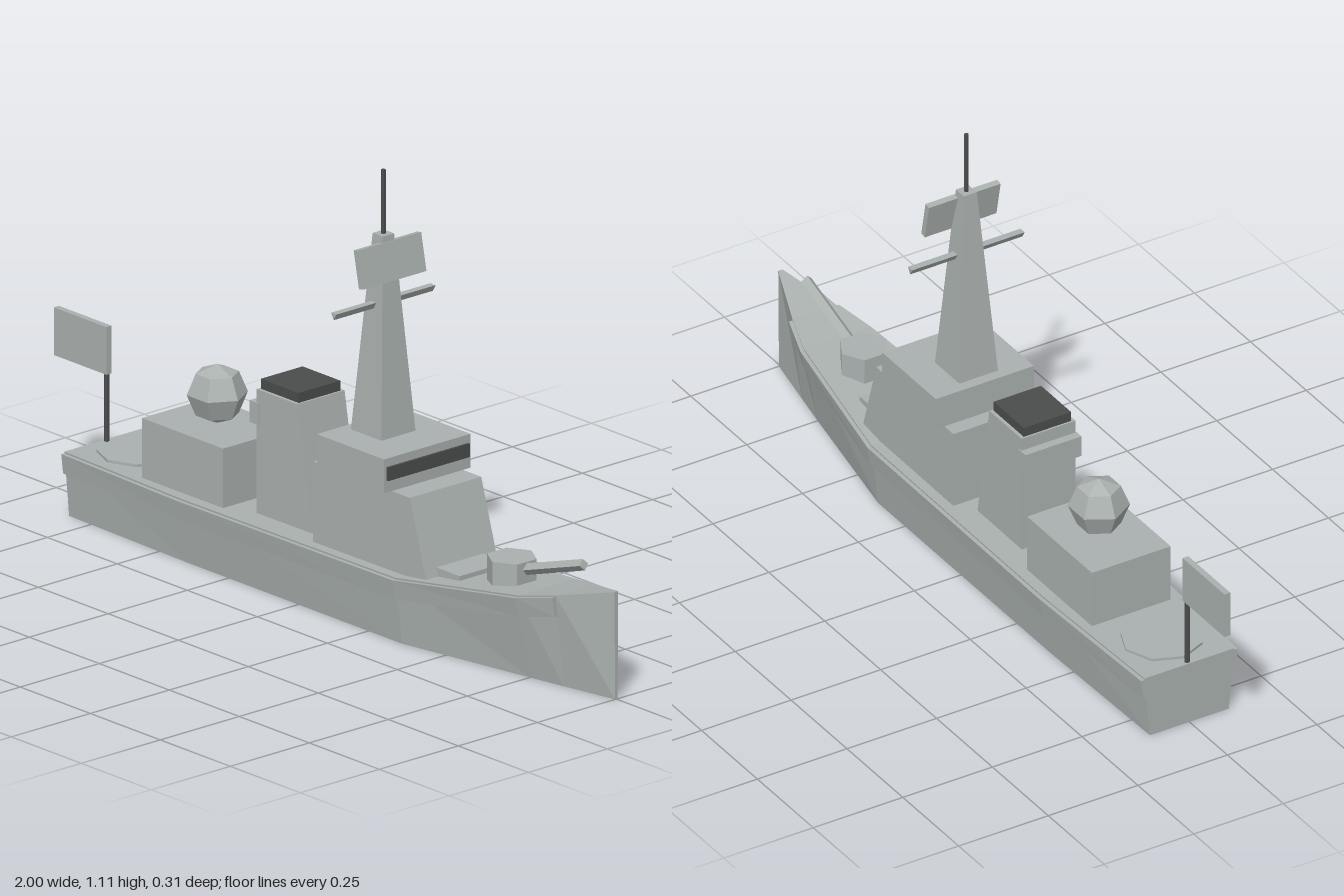
import * as THREE from 'three';

const grey = new THREE.MeshStandardMaterial({ color: 0xaab1af, flatShading: true });
grey.name = 'hull grey';
const dark = new THREE.MeshStandardMaterial({ color: 0x4b4c4c, flatShading: true });
dark.name = 'dark grey';

// Hull stations: x, deck height, deck half-width, bottom half-width
const STATIONS = [
  [-0.83, 0.165, 0.125, 0.11],
  [-0.4, 0.165, 0.14, 0.12],
  [0.37, 0.17, 0.14, 0.12],
  [0.75, 0.215, 0.09, 0.052],
  [0.85, 0.235, 0.06, 0.033],
  [1, 0.27, 0.006, 0.004],
];

// Joins rings of [x, y, z] points (counter-clockwise seen from +x) and caps both ends
function loft(rings) {
  const n = rings[0].length;
  const index = [];
  for (let i = 0; i < rings.length - 1; i++) {
    for (let j = 0; j < n; j++) {
      const a = i * n + j, b = i * n + (j + 1) % n;
      const c = b + n, d = a + n;
      index.push(a, b, c, a, c, d);
    }
  }
  const last = (rings.length - 1) * n;
  for (let j = 1; j < n - 1; j++) {
    index.push(0, j + 1, j, last, last + j, last + j + 1);
  }
  const g = new THREE.BufferGeometry();
  g.setAttribute('position', new THREE.Float32BufferAttribute(rings.flat(2), 3));
  g.setIndex(index);
  const flat = g.toNonIndexed();
  flat.computeVertexNormals();
  return flat;
}

// Box given by its limits, with an optional different top rectangle
function block(x0, x1, y0, y1, z, tx0 = x0, tx1 = x1, tz = z) {
  const g = new THREE.BoxGeometry(1, 1, 1).toNonIndexed();
  const p = g.attributes.position;
  for (let i = 0; i < p.count; i++) {
    const top = p.getY(i) > 0;
    const x = p.getX(i) > 0 ? (top ? tx1 : x1) : (top ? tx0 : x0);
    p.setXYZ(i, x, top ? y1 : y0, Math.sign(p.getZ(i)) * (top ? tz : z));
  }
  g.computeVertexNormals();
  return g;
}

export function createModel() {
  const ship = new THREE.Group();
  ship.name = 'warship';
  const add = (name, geometry, material = grey, x = 0, y = 0, z = 0) => {
    const mesh = new THREE.Mesh(geometry, material);
    mesh.name = name;
    mesh.position.set(x, y, z);
    ship.add(mesh);
    return mesh;
  };

  // Hull
  add('hull', loft(STATIONS.map(([x, d, h, b]) =>
    [[x, 0, -b], [x, d, -h], [x, d, h], [x, 0, b]])));

  // Rubbing strakes along both sides, stopping short of the bow
  for (const s of [1, -1]) {
    const rings = STATIONS.slice(0, 5).map(([x, d, h, b]) => {
      const top = d - 0.004, low = d - 0.054;
      const inner = b + (h - b) * low / d;
      const ring = [
        [x, top, s * (h - 0.008)], [x, top, s * (h + 0.01)],
        [x, low, s * (inner + 0.009)], [x, low, s * (inner - 0.008)],
      ];
      return s > 0 ? ring : ring.reverse();
    });
    add(s > 0 ? 'leftSideStrake' : 'rightSideStrake', loft(rings));
  }

  // Aft deck: landing pad, flag, deckhouse and radar dome
  add('landingPad', new THREE.CylinderGeometry(0.1, 0.1, 0.01, 8), grey, -0.705, 0.167);
  add('flagPole', new THREE.CylinderGeometry(0.007, 0.007, 0.28, 6), dark, -0.82, 0.3);
  add('flag', block(-1, -0.812, 0.335, 0.455, 0.008));
  add('aftDeckhouse', block(-0.57, -0.28, 0.155, 0.315, 0.11));
  add('radarDome', new THREE.SphereGeometry(0.074, 6, 4), grey, -0.425, 0.39);

  // Funnel
  add('funnel', block(-0.2, 0, 0.155, 0.478, 0.075, -0.2, -0.055, 0.075));
  add('funnelLedge', block(-0.222, -0.19, 0.39, 0.445, 0.078));
  add('funnelCap', block(-0.195, -0.06, 0.476, 0.503, 0.066), dark);

  // Superstructure and bridge
  add('superstructure', block(0.045, 0.455, 0.155, 0.37, 0.113, 0.045, 0.39, 0.113));
  add('bridge', block(0.085, 0.325, 0.37, 0.455, 0.137));
  add('bridgeWindow', block(0.324, 0.331, 0.4, 0.434, 0.129), dark);

  // Mast with radar panel, yard and aerial
  add('mast', block(0.113, 0.222, 0.455, 0.95, 0.054, 0.15, 0.186, 0.018));
  const panel = add('radarPanel', new THREE.BoxGeometry(0.016, 0.095, 0.2), grey, 0.192, 0.887);
  panel.rotation.z = 0.2;
  const yard = add('yardArm', new THREE.CylinderGeometry(0.011, 0.011, 0.314, 3), grey, 0.168, 0.779);
  yard.rotation.x = Math.PI / 2;
  add('aerial', new THREE.CylinderGeometry(0.006, 0.006, 0.17, 6), dark, 0.168, 1.025);

  // Foredeck: low plinth, gun turret and barrel
  add('foredeckPlinth', block(0.4, 0.525, 0.165, 0.2, 0.075));
  add('gunTurret', new THREE.CylinderGeometry(0.062, 0.062, 0.07, 6), grey, 0.627, 0.225);
  const barrel = add('gunBarrel', new THREE.CylinderGeometry(0.014, 0.014, 0.235, 4), grey, 0.772, 0.271);
  barrel.rotation.z = -Math.PI / 2 + 0.31;

  return ship;
}
